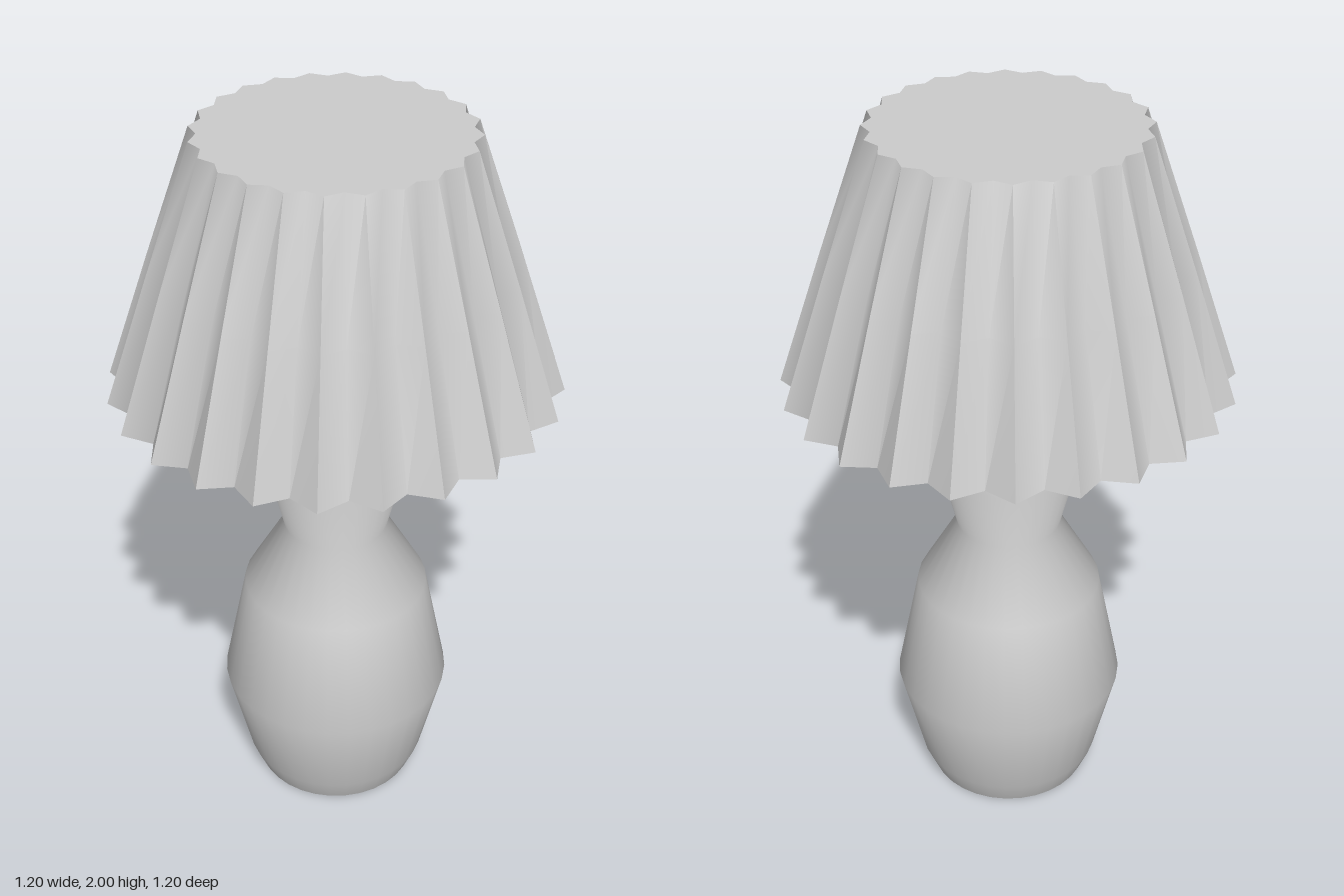
import * as THREE from 'three';
import { toCreasedNormals } from 'three/addons/utils/BufferGeometryUtils.js';

const PLEATS = 24;

// Pleated cone: star-shaped rings joined by quads, closed by a flat cap at each end
function pleatedShade(rings) {
  const n = PLEATS * 2;
  const pos = [];
  const index = [];
  for (const [y, peak, valley] of rings) {
    for (let i = 0; i < n; i++) {
      const a = (i / n) * Math.PI * 2;
      const r = i % 2 ? valley : peak;
      pos.push(Math.sin(a) * r, y, Math.cos(a) * r);
    }
  }
  const last = (rings.length - 1) * n;
  const bottom = pos.length / 3;
  const top = bottom + 1;
  pos.push(0, rings[0][0], 0, 0, rings[rings.length - 1][0], 0);
  for (let i = 0; i < n; i++) {
    const j = (i + 1) % n;
    for (let k = 0; k < last; k += n) {
      index.push(k + i, k + j, k + n + j, k + i, k + n + j, k + n + i);
    }
    index.push(bottom, j, i, top, last + i, last + j);
  }
  const g = new THREE.BufferGeometry();
  g.setAttribute('position', new THREE.Float32BufferAttribute(pos, 3));
  g.setIndex(index);
  return toCreasedNormals(g, THREE.MathUtils.degToRad(60));
}

export function createModel() {
  const lamp = new THREE.Group();
  lamp.name = 'tableLamp';
  const grey = new THREE.MeshStandardMaterial({ color: 0xcccccc });
  grey.name = 'lightGrey';

  const add = (name, geometry) => {
    const mesh = new THREE.Mesh(geometry, grey);
    mesh.name = name;
    lamp.add(mesh);
    return mesh;
  };

  // Turned gourd-shaped body
  const profile = [
    [0.225, 0], [0.255, 0.07], [0.318, 0.33], [0.255, 0.645], [0.143, 0.84],
    [0.19, 1.03], [0.095, 1.22], [0.035, 1.29],
  ].map(([r, y]) => new THREE.Vector2(r, y));
  add('body', new THREE.LatheGeometry(profile, 32));

  // Flat foot closing the underside
  add('foot', new THREE.CircleGeometry(0.225, 32).rotateX(Math.PI / 2));

  // Pleated shade: height, peak radius, valley radius
  add('shade', pleatedShade([
    [1.29, 0.6, 0.545],
    [1.65, 0.48, 0.442],
    [2, 0.36, 0.338],
  ]));

  return lamp;
}
